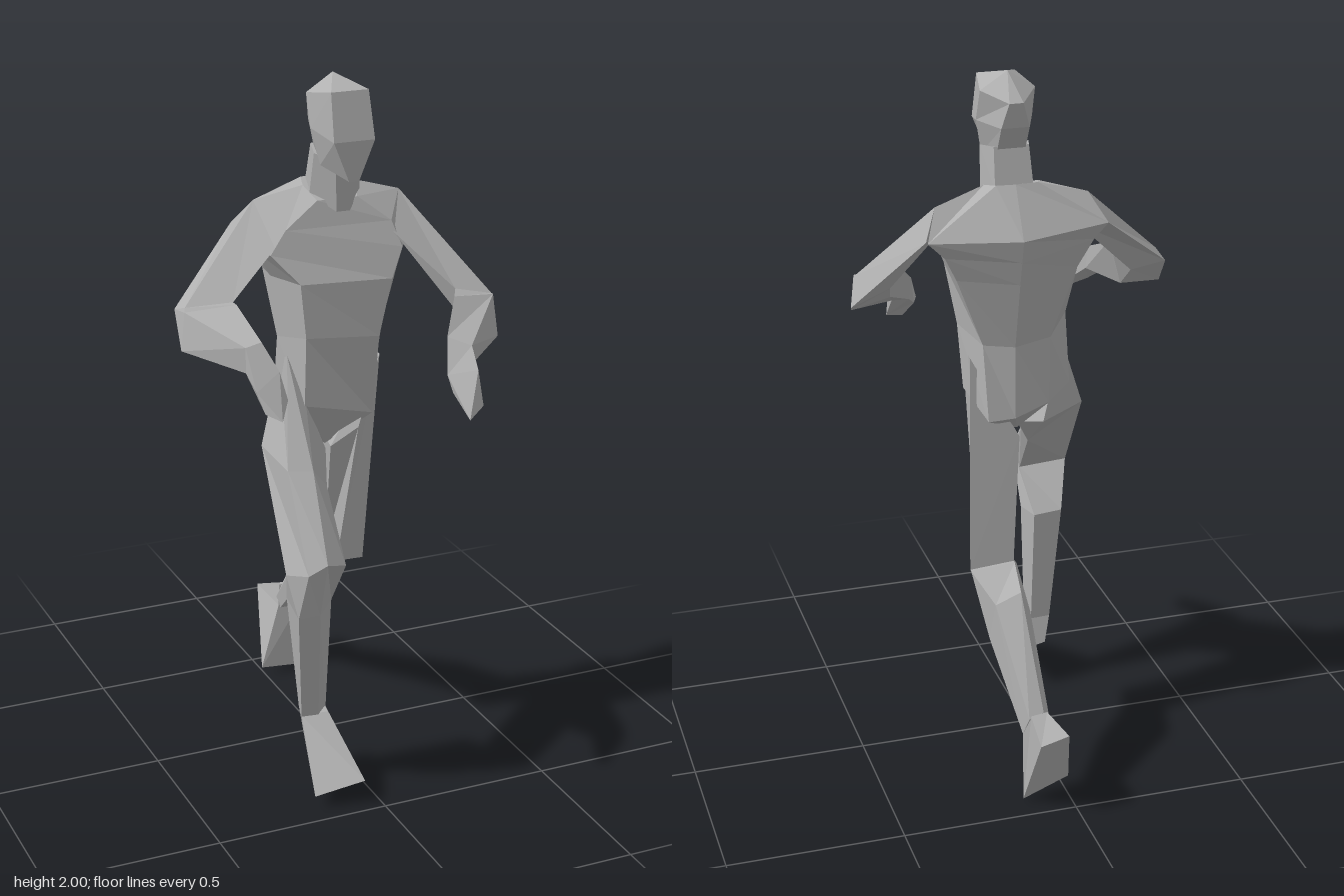
import * as THREE from 'three';

const grey = new THREE.MeshStandardMaterial({ color: 0xb0b0b0, flatShading: true });
grey.name = 'plain grey';

// Skin a run of rings (each a list of [x, y, z]) into a closed, outward-facing faceted solid.
// A ring of one point closes the shape to a tip.
function loft(name, rings) {
  const tris = [];
  const n = rings[0].length;
  const at = (r, i) => new THREE.Vector3(...r[i % r.length]);
  const add = (a, b, c) => {
    const area = b.clone().sub(a).cross(c.clone().sub(a)).length();
    if (area > 1e-8) tris.push([a, b, c]);
  };
  for (let k = 0; k < rings.length - 1; k++) {
    for (let i = 0; i < n; i++) {
      const j = (i + 1) % n;
      const a = at(rings[k], i), b = at(rings[k], j);
      const c = at(rings[k + 1], j), d = at(rings[k + 1], i);
      add(a, b, c);
      add(a, c, d);
    }
  }
  const cap = (r, flip) => {
    for (let i = 1; i < r.length - 1; i++) {
      if (flip) add(at(r, 0), at(r, i + 1), at(r, i));
      else add(at(r, 0), at(r, i), at(r, i + 1));
    }
  };
  cap(rings[0], true);
  cap(rings[rings.length - 1], false);

  // Signed volume tells whether the corners need reversing
  const volume = tris.reduce((s, [a, b, c]) => s + a.dot(b.clone().cross(c)), 0);
  const pts = tris.flatMap(([a, b, c]) => (volume < 0 ? [a, c, b] : [a, b, c]));
  const geo = new THREE.BufferGeometry().setFromPoints(pts);
  geo.computeVertexNormals();
  const mesh = new THREE.Mesh(geo, grey);
  mesh.name = name;
  return mesh;
}

// Six-sided head ring, symmetric about the head's centre line:
// half-width, y, z for the front, side and back corners
function headRing(front, side, back) {
  const cx = 0.037;
  const pt = (s, [w, y, z]) => [cx + s * w, y, z];
  return [pt(1, front), pt(1, side), pt(1, back), pt(-1, back), pt(-1, side), pt(-1, front)];
}

export function createModel() {
  const model = new THREE.Group();
  model.name = 'runningFigure';

  // Head and neck
  model.add(loft('head', [
    headRing([0.015, 1.73, 0.18], [0.06, 1.76, 0.09], [0.04, 1.79, 0]),
    headRing([0.06, 1.84, 0.182], [0.08, 1.86, 0.07], [0.04, 1.86, -0.04]),
    headRing([0.055, 1.97, 0.15], [0.078, 1.95, 0.035], [0.02, 1.93, -0.05]),
    [[0.037, 2, 0.035]],
  ]));
  model.add(loft('neck', [
    headRing([0.03, 1.77, 0.125], [0.07, 1.79, 0.07], [0.05, 1.8, 0]),
    headRing([0.02, 1.63, 0.11], [0.075, 1.67, 0.05], [0.055, 1.68, -0.03]),
  ]));

  // Torso, neck base to crotch: left front, left side, left back, spine, right back, right side, right front
  model.add(loft('torso', [
    [[0.09, 1.66, 0.085], [0.11, 1.69, 0.02], [0.09, 1.7, -0.03], [0.035, 1.7, -0.035],
      [-0.03, 1.7, -0.03], [-0.045, 1.69, 0.02], [-0.03, 1.66, 0.085]],
    [[0.18, 1.59, 0.115], [0.255, 1.645, 0], [0.29, 1.56, -0.055], [0.04, 1.565, -0.128],
      [-0.22, 1.58, -0.075], [-0.18, 1.655, -0.01], [-0.13, 1.59, 0.1]],
    [[0.2, 1.52, 0.145], [0.235, 1.525, 0.09], [0.24, 1.51, -0.045], [0.04, 1.5, -0.112],
      [-0.185, 1.53, -0.055], [-0.2, 1.53, 0.04], [-0.18, 1.53, 0.115]],
    [[0.16, 1.44, 0.167], [0.205, 1.45, 0.1], [0.205, 1.44, -0.035], [0.04, 1.43, -0.093],
      [-0.14, 1.45, -0.045], [-0.15, 1.45, 0.04], [-0.11, 1.45, 0.158]],
    [[0.12, 1.28, 0.172], [0.18, 1.28, 0.06], [0.13, 1.24, -0.03], [0.04, 1.23, -0.045],
      [-0.07, 1.24, -0.02], [-0.14, 1.28, 0.06], [-0.1, 1.3, 0.172]],
    [[0.12, 1.04, 0.13], [0.175, 1.1, 0.02], [0.13, 1.03, -0.085], [0.05, 1.03, -0.08],
      [-0.06, 1.05, -0.04], [-0.15, 1.07, 0.05], [-0.11, 1.11, 0.185]],
    [[0.005, 0.94, 0.06]],
  ]));

  // Arms: shoulder, elbow, forearm, wrist, knuckles, fingertip
  model.add(loft('rightArm', [
    [[-0.18, 1.655, -0.01], [-0.15, 1.56, 0.105], [-0.19, 1.525, 0.09], [-0.22, 1.58, -0.075]],
    [[-0.435, 1.42, 0.13], [-0.31, 1.43, 0.165], [-0.36, 1.36, 0.13], [-0.443, 1.4, 0.07]],
    [[-0.44, 1.41, 0.14], [-0.31, 1.43, 0.19], [-0.35, 1.3, 0.19], [-0.458, 1.31, 0.16]],
    [[-0.345, 1.36, 0.34], [-0.3, 1.37, 0.34], [-0.295, 1.3, 0.345], [-0.345, 1.29, 0.34]],
    [[-0.355, 1.27, 0.44], [-0.27, 1.3, 0.39], [-0.265, 1.235, 0.435], [-0.345, 1.22, 0.475]],
    [[-0.305, 1.2, 0.495]],
  ]));
  model.add(loft('leftArm', [
    [[0.255, 1.645, 0], [0.18, 1.56, 0.13], [0.225, 1.515, 0.12], [0.295, 1.565, -0.055]],
    [[0.43, 1.385, 0.24], [0.32, 1.41, 0.235], [0.33, 1.34, 0.23], [0.455, 1.31, 0.185]],
    [[0.43, 1.385, 0.25], [0.3, 1.4, 0.27], [0.32, 1.3, 0.27], [0.435, 1.27, 0.275]],
    [[0.29, 1.3, 0.4], [0.235, 1.32, 0.36], [0.24, 1.25, 0.37], [0.285, 1.24, 0.4]],
    [[0.28, 1.25, 0.46], [0.205, 1.235, 0.425], [0.2, 1.2, 0.47], [0.28, 1.16, 0.495]],
    [[0.22, 1.14, 0.535]],
  ]));

  // Legs: hip to ankle, each ring from the front outer corner round by the inside
  model.add(loft('rightLeg', [
    [[-0.135, 1.24, 0.12], [-0.105, 1.11, 0.183], [-0.01, 0.94, 0.1], [-0.06, 0.97, 0.01], [-0.125, 1.2, 0.04]],
    [[-0.195, 0.96, 0.265], [-0.13, 0.96, 0.29], [-0.05, 0.87, 0.2], [-0.065, 0.84, 0.18], [-0.205, 0.98, 0.1]],
    [[-0.2, 0.71, 0.42], [-0.15, 0.74, 0.435], [-0.085, 0.72, 0.41], [-0.09, 0.68, 0.345], [-0.235, 0.69, 0.345]],
    [[-0.215, 0.57, 0.385], [-0.15, 0.57, 0.385], [-0.08, 0.57, 0.3], [-0.1, 0.57, 0.225], [-0.19, 0.57, 0.24]],
    [[-0.16, 0.2, 0.275], [-0.11, 0.2, 0.28], [-0.075, 0.21, 0.25], [-0.09, 0.22, 0.225], [-0.15, 0.22, 0.23]],
  ]));
  model.add(loft('leftLeg', [
    [[0.155, 1.2, 0.1], [0.08, 1, 0.125], [0.01, 0.94, 0.09], [0.03, 0.96, -0.05], [0.165, 1.2, -0.02]],
    [[0.13, 0.56, 0.05], [0.05, 0.56, 0.045], [0.045, 0.57, -0.03], [0.06, 0.59, -0.09], [0.19, 0.58, -0.09]],
    [[0.15, 0.55, -0.05], [0.05, 0.55, -0.05], [0.045, 0.57, -0.07], [0.06, 0.59, -0.1], [0.19, 0.58, -0.1]],
    [[0.165, 0.41, -0.2], [0.06, 0.41, -0.2], [0.05, 0.49, -0.22], [0.08, 0.56, -0.23], [0.155, 0.53, -0.23]],
    [[0.13, 0.21, -0.41], [0.06, 0.21, -0.41], [0.055, 0.24, -0.43], [0.075, 0.28, -0.43], [0.12, 0.27, -0.44]],
  ]));

  // Feet: ankle down to the sole
  model.add(loft('rightFoot', [
    [[-0.16, 0.21, 0.275], [-0.08, 0.21, 0.28], [-0.075, 0.22, 0.23], [-0.15, 0.22, 0.23]],
    [[-0.185, 0.035, 0.43], [-0.045, 0.07, 0.46], [-0.045, 0.13, 0.195], [-0.13, 0.14, 0.21]],
  ]));
  model.add(loft('leftFoot', [
    [[0.13, 0.22, -0.41], [0.055, 0.22, -0.41], [0.065, 0.28, -0.43], [0.115, 0.28, -0.44]],
    [[0.13, 0, -0.415], [-0.015, 0.03, -0.38], [0.03, 0.25, -0.525], [0.115, 0.235, -0.535]],
  ]));

  return model;
}
